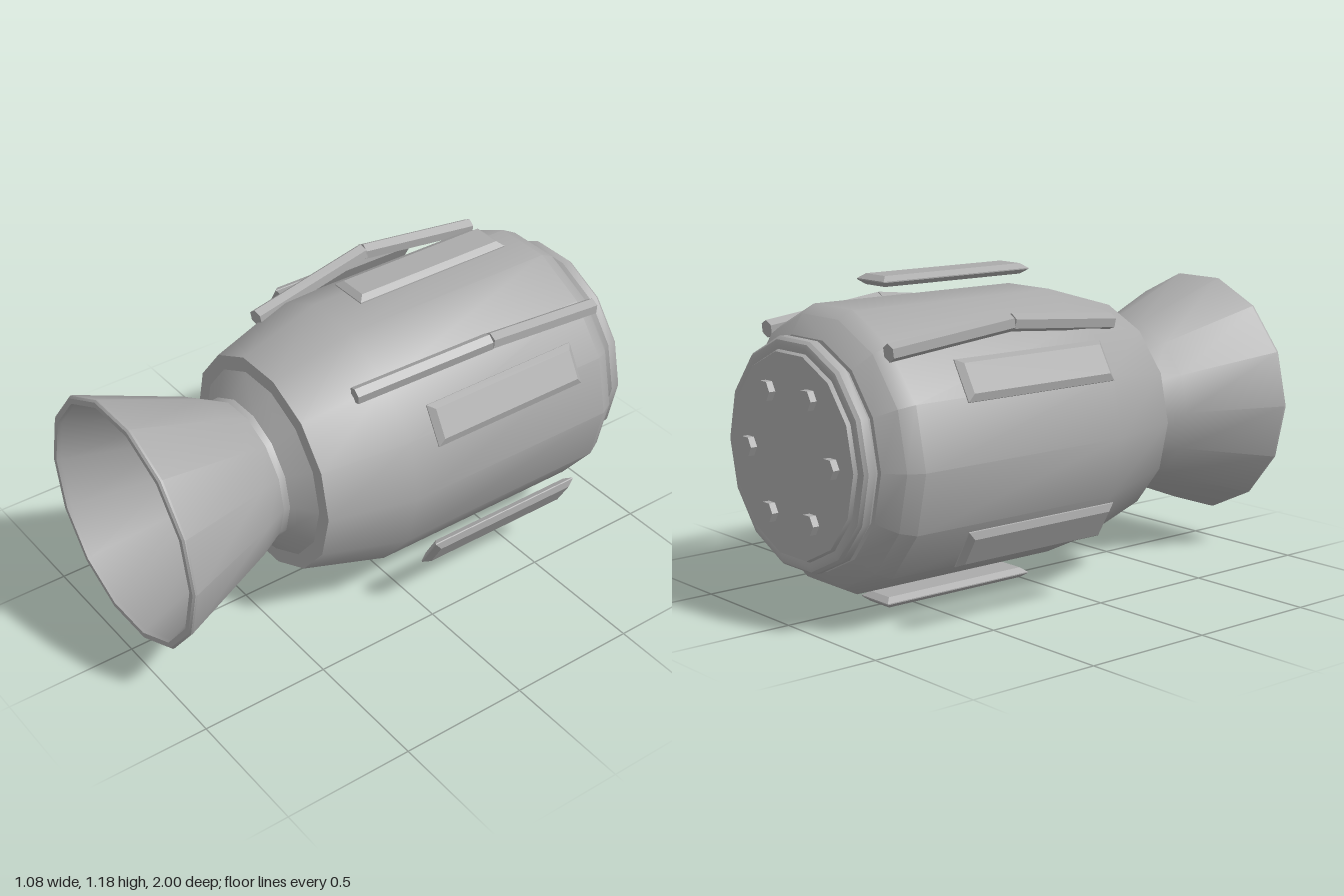
import * as THREE from 'three';
import { toCreasedNormals } from 'three/addons/utils/BufferGeometryUtils.js';

const CY = 0.59; // height of the long axis
const SIDES = 14;

export function createModel() {
  const root = new THREE.Group();
  root.name = 'serviceModule';
  const hull = new THREE.MeshStandardMaterial({ color: 0xaaaaaa });
  hull.name = 'hullGrey';
  const tan = new THREE.MeshStandardMaterial({ color: 0xd0bc90 });
  tan.name = 'throatTan';

  const craft = new THREE.Group();
  craft.name = 'craft';
  craft.position.y = CY;
  root.add(craft);

  const add = (name, geo, mat = hull, parent = craft) => {
    const m = new THREE.Mesh(geo, mat);
    m.name = name;
    parent.add(m);
    return m;
  };

  // Turned part around z; profile is [radius, z], rising z faces outward
  const turned = (name, profile, mat = hull) => {
    const pts = profile.map(([r, z]) => new THREE.Vector2(r, z));
    const geo = new THREE.LatheGeometry(pts, SIDES, Math.PI / 2);
    geo.rotateX(Math.PI / 2);
    return add(name, toCreasedNormals(geo, Math.PI / 6), mat);
  };

  // Main body with shoulder, taper and recessed front
  turned('body', [
    [0.36, -0.9], [0.41, -0.9], [0.478, -0.845], [0.507, -0.79], [0.507, 0.09],
    [0.416, 0.41], [0.36, 0.41], [0.276, 0.475],
  ]);

  // Docking ring and plate at the back
  turned('rearRing', [
    [0.36, -0.96], [0.385, -0.966], [0.4, -0.962], [0.41, -0.95],
    [0.41, -0.92], [0.4, -0.906], [0.37, -0.898],
  ]);
  turned('rearPlate', [[0, -0.975], [0.36, -0.975], [0.37, -0.955]]);

  // Six hexagonal bolts on the plate
  for (let i = 0; i < 6; i++) {
    const a = (i * Math.PI) / 3;
    const geo = new THREE.CylinderGeometry(0.038, 0.038, 0.035, 6).toNonIndexed();
    geo.rotateY(Math.PI / 2).rotateX(Math.PI / 2);
    geo.computeVertexNormals();
    add('bolt', geo).position.set(0.245 * Math.cos(a), 0.245 * Math.sin(a), -0.9825);
  }

  // Engine bell: outside, rim, inside and throat collar
  turned('nozzle', [
    [0.276, 0.47], [0.274, 0.5], [0.325, 0.6], [0.474, 0.985], [0.474, 0.993],
    [0.467, 1], [0.447, 1], [0.442, 0.985], [0.3, 0.61], [0.24, 0.5],
    [0.215, 0.485], [0.195, 0.465],
  ]);
  turned('throatDisc', [[0.2, 0.466], [0, 0.466]], tan);

  // Six bevelled panels standing off the body
  const w = 0.055, l = 0.305;
  const face = new THREE.Shape([
    new THREE.Vector2(-w, -l), new THREE.Vector2(w, -l),
    new THREE.Vector2(w, l), new THREE.Vector2(-w, l),
  ]);
  const panelGeo = new THREE.ExtrudeGeometry(face, {
    depth: 0.004, bevelEnabled: true, bevelSegments: 1, bevelSize: 0.022, bevelThickness: 0.017,
  });
  panelGeo.translate(0, 0, -0.002).rotateX(-Math.PI / 2).translate(0, 0.571, -0.305);
  for (let i = 0; i < 6; i++) {
    add('panel', panelGeo).rotation.z = (i * Math.PI) / 3;
  }

  // Bent handrails on the upper sides
  const rail = (a, b) => {
    const dir = b.clone().sub(a);
    const geo = new THREE.CylinderGeometry(0.032, 0.032, dir.length(), 6).toNonIndexed();
    geo.computeVertexNormals();
    geo.applyQuaternion(new THREE.Quaternion().setFromUnitVectors(
      new THREE.Vector3(0, 1, 0), dir.normalize()));
    const mid = a.clone().add(b).multiplyScalar(0.5);
    return geo.translate(mid.x, mid.y, mid.z);
  };
  for (const s of [1, -1]) {
    const front = new THREE.Vector3(s * 0.303, 0.385, 0.215);
    const bend = new THREE.Vector3(s * 0.376, 0.438, -0.32);
    const back = new THREE.Vector3(s * 0.358, 0.382, -0.825);
    const side = s > 0 ? 'left' : 'right';
    add(side + 'RailFront', rail(front, bend));
    add(side + 'RailBack', rail(bend, back));
  }

  return root;
}
